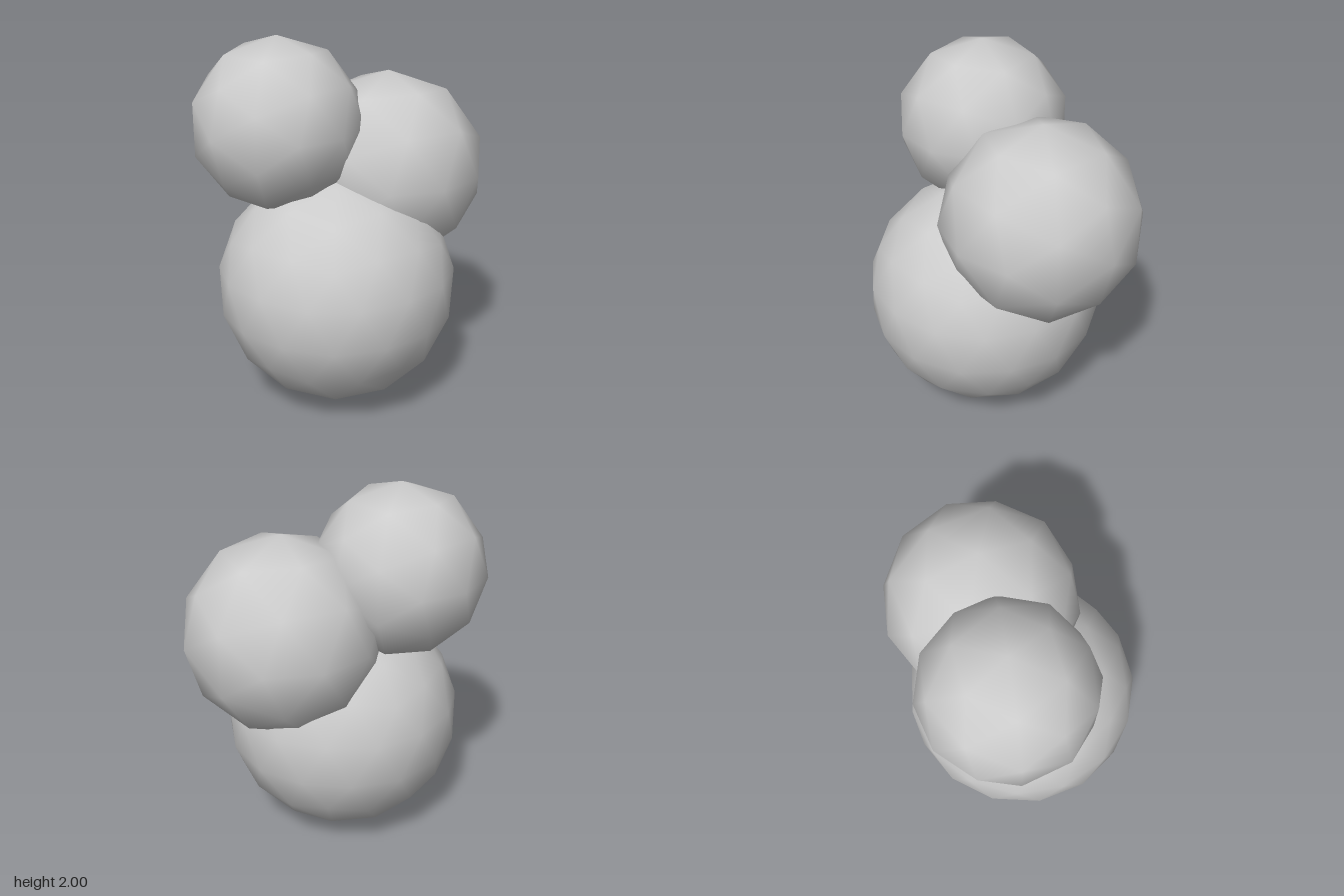
import * as THREE from 'three';

// Angle between a two-fold axis and the nearest corner of an icosahedron
const CORNER = Math.atan(2 / (1 + Math.sqrt(5)));

export function createModel() {
  const group = new THREE.Group();
  group.name = 'sphereCluster';
  const material = new THREE.MeshStandardMaterial({ color: 0xcccccc });

  // Smooth-shaded icosphere, turned about x, then z, then y
  function addSphere(name, radius, detail, center, [rx, rz, ry]) {
    const geometry = new THREE.IcosahedronGeometry(radius, detail);
    geometry.rotateX(rx).rotateZ(rz).rotateY(ry);
    const mesh = new THREE.Mesh(geometry, material);
    mesh.name = name;
    mesh.position.set(...center);
    group.add(mesh);
  }

  // Large sphere at the bottom, standing on one corner
  addSphere('largeSphere', 0.65, 2, [-0.015, 0.65, 0.075], [CORNER - Math.PI / 2, 0, 0]);
  // Medium sphere, upper left and towards the back
  addSphere('mediumSphere', 0.535, 1, [0.262, 1.24, -0.19], [CORNER, Math.PI / 2, 0]);
  // Small sphere, upper right, the highest of the three
  addSphere('smallSphere', 0.465, 1, [-0.322, 1.535, 0.045], [CORNER, Math.PI / 2, 0.3]);

  return group;
}
